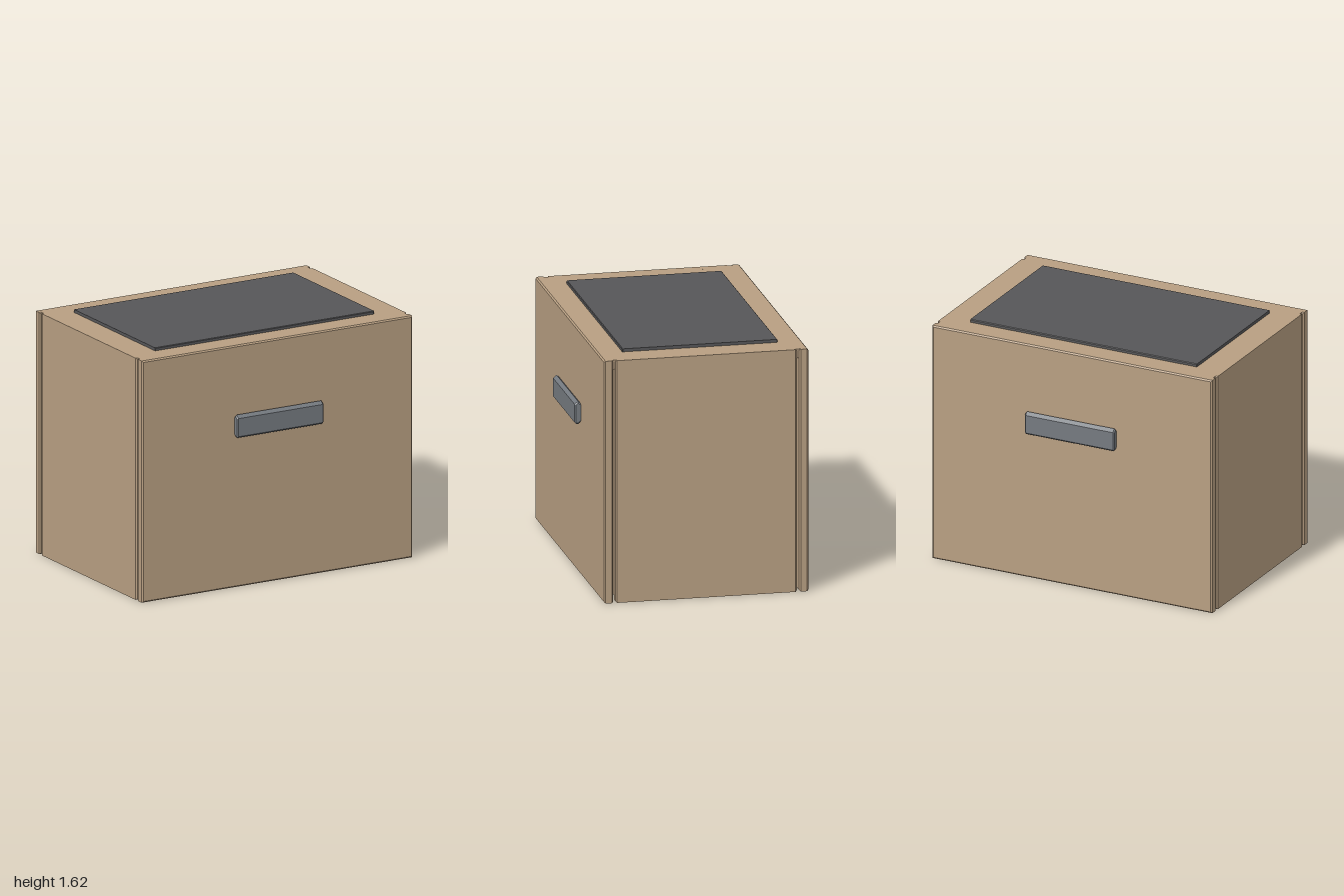
import * as THREE from 'three';

const wood = new THREE.MeshStandardMaterial({ color: 0xb89f82 });
const metal = new THREE.MeshStandardMaterial({ color: 0x757a80 });
const dark = new THREE.MeshStandardMaterial({ color: 0x565658 });

// Extrude an outline along z, centred, with a one-step chamfer kept inside the outline
function chamferExtrude(points, depth, chamfer) {
  const shape = new THREE.Shape(points.map(([x, y]) => new THREE.Vector2(x, y)));
  const geometry = new THREE.ExtrudeGeometry(shape, {
    depth: depth - 2 * chamfer,
    bevelEnabled: true,
    bevelThickness: chamfer,
    bevelSize: chamfer,
    bevelOffset: -chamfer,
    bevelSegments: 1,
  });
  return geometry.translate(0, 0, chamfer - depth / 2);
}

function chamferBox(w, h, d, chamfer = 0.009) {
  const x = w / 2, y = h / 2;
  return chamferExtrude([[-x, -y], [x, -y], [x, y], [-x, y]], d, chamfer);
}

export function createModel() {
  const group = new THREE.Group();
  const add = (name, geometry, material, x, y, z) => {
    const mesh = new THREE.Mesh(geometry, material);
    mesh.name = name;
    mesh.position.set(x, y, z);
    group.add(mesh);
    return mesh;
  };

  // Walls: full-width front and back, sides fitted between with a narrow gap
  for (const [s, label] of [[1, 'front'], [-1, 'back']]) {
    add(label + 'Panel', chamferBox(2, 1.6, 0.06), wood, 0, 0.8, s * 0.635);
  }
  for (const [s, label] of [[1, 'left'], [-1, 'right']]) {
    add(label + 'Panel', chamferBox(0.06, 1.6, 1.18), wood, s * 0.97, 0.8, 0);
  }

  // Top board, flush with the wall tops; the bottom stays open
  add('topPanel', new THREE.BoxGeometry(1.97, 0.06, 1.312), wood, 0, 1.57, 0);

  // Corner posts inside, stopping short of the floor
  for (const x of [-1, 1]) {
    for (const z of [-1, 1]) {
      add('cornerPost', chamferBox(0.09, 1.5, 0.09, 0.006), wood, x * 0.895, 0.79, z * 0.56);
    }
  }

  // Thin dark pad on the top
  add('topPad', chamferBox(1.62, 0.024, 1.01, 0.004), dark, 0, 1.608, 0);

  // Handles: side profile (outward, up) swept across the width
  const profile = [
    [-0.01, 0.02], [0.015, 0], [0.03, 0], [0.04, 0.01],
    [0.04, 0.13], [0.018, 0.15], [-0.01, 0.125],
  ];
  for (const [s, label] of [[1, 'front'], [-1, 'back']]) {
    const handle = add(label + 'Handle', chamferExtrude(profile, 0.64, 0.008), metal, 0, 0.997, s * 0.664);
    handle.rotation.y = -s * Math.PI / 2;
  }

  return group;
}
